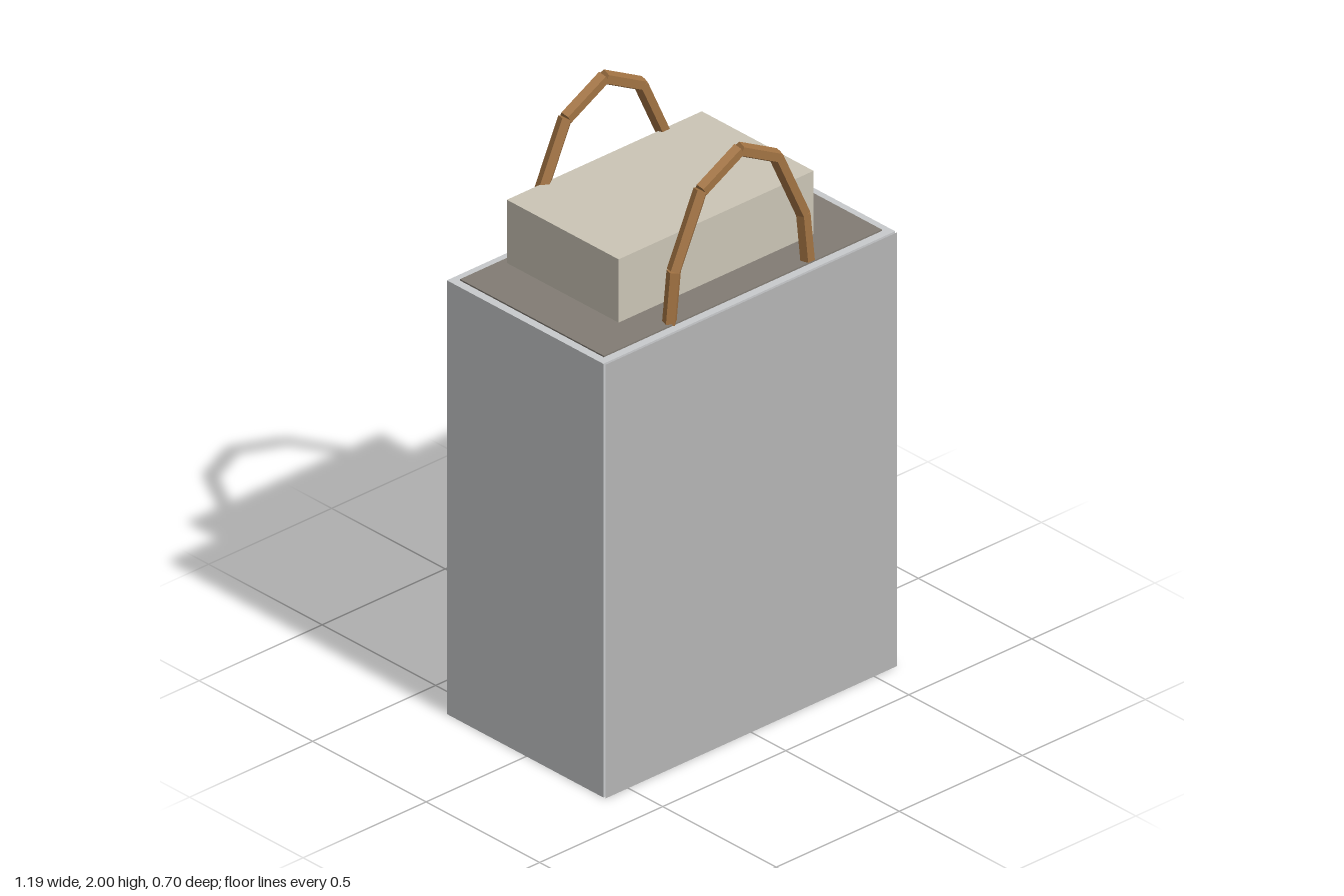
import * as THREE from 'three';

const material = (name, color) => {
  const m = new THREE.MeshStandardMaterial({ color });
  m.name = name;
  return m;
};

export function createModel() {
  const bag = new THREE.Group();
  bag.name = 'carryBag';
  const paper = material('pale grey paper', 0xc8cacc);
  const panel = material('front grey', 0xb4b4b4);
  const shade = material('dark opening', 0x827c74);
  const cream = material('cream parcel', 0xcbc5b6);
  const cord = material('brown cord', 0xa27343);
  panel.side = THREE.DoubleSide;

  // Box given by its lower and upper corners
  const block = (name, mat, [x0, y0, z0], [x1, y1, z1]) => {
    const mesh = new THREE.Mesh(new THREE.BoxGeometry(x1 - x0, y1 - y0, z1 - z0), mat);
    mesh.position.set((x0 + x1) / 2, (y0 + y1) / 2, (z0 + z1) / 2);
    mesh.name = name;
    bag.add(mesh);
  };
  block('body', paper, [-0.593, 0, -0.35], [0.593, 1.488, 0.339]);
  block('opening', shade, [-0.565, 1.485, -0.322], [0.565, 1.493, 0.311]);
  block('parcel', cream, [-0.396, 1.47, -0.299], [0.396, 1.71, 0.193]);

  // Flat sheet standing just off the front of the body
  const front = new THREE.Mesh(new THREE.PlaneGeometry(1.186, 1.488), panel);
  front.name = 'frontPanel';
  front.position.set(0, 0.744, 0.348);
  bag.add(front);

  // Handles: straight five-sided rods joined into an arch
  const half = [[-0.281, 1.48], [-0.262, 1.66], [-0.153, 1.896], [0, 1.977]];
  const arch = [...half, ...half.slice(0, 3).reverse().map(([x, y]) => [-x, y])]
    .map(([x, y]) => new THREE.Vector3(x, y, 0));
  const up = new THREE.Vector3(0, 1, 0);
  for (const [name, z] of [['frontHandle', 0.292], ['backHandle', -0.304]]) {
    const handle = new THREE.Group();
    handle.name = name;
    handle.position.z = z;
    for (let i = 0; i < arch.length - 1; i++) {
      const dir = arch[i + 1].clone().sub(arch[i]);
      const geo = new THREE.CylinderGeometry(0.023, 0.023, dir.length(), 5).toNonIndexed();
      if (i > 1) geo.rotateY(Math.PI);
      geo.computeVertexNormals();
      const rod = new THREE.Mesh(geo, cord);
      rod.name = 'handleRod';
      rod.position.copy(arch[i]).add(arch[i + 1]).multiplyScalar(0.5);
      rod.quaternion.setFromUnitVectors(up, dir.normalize());
      handle.add(rod);
    }
    bag.add(handle);
  }
  return bag;
}
